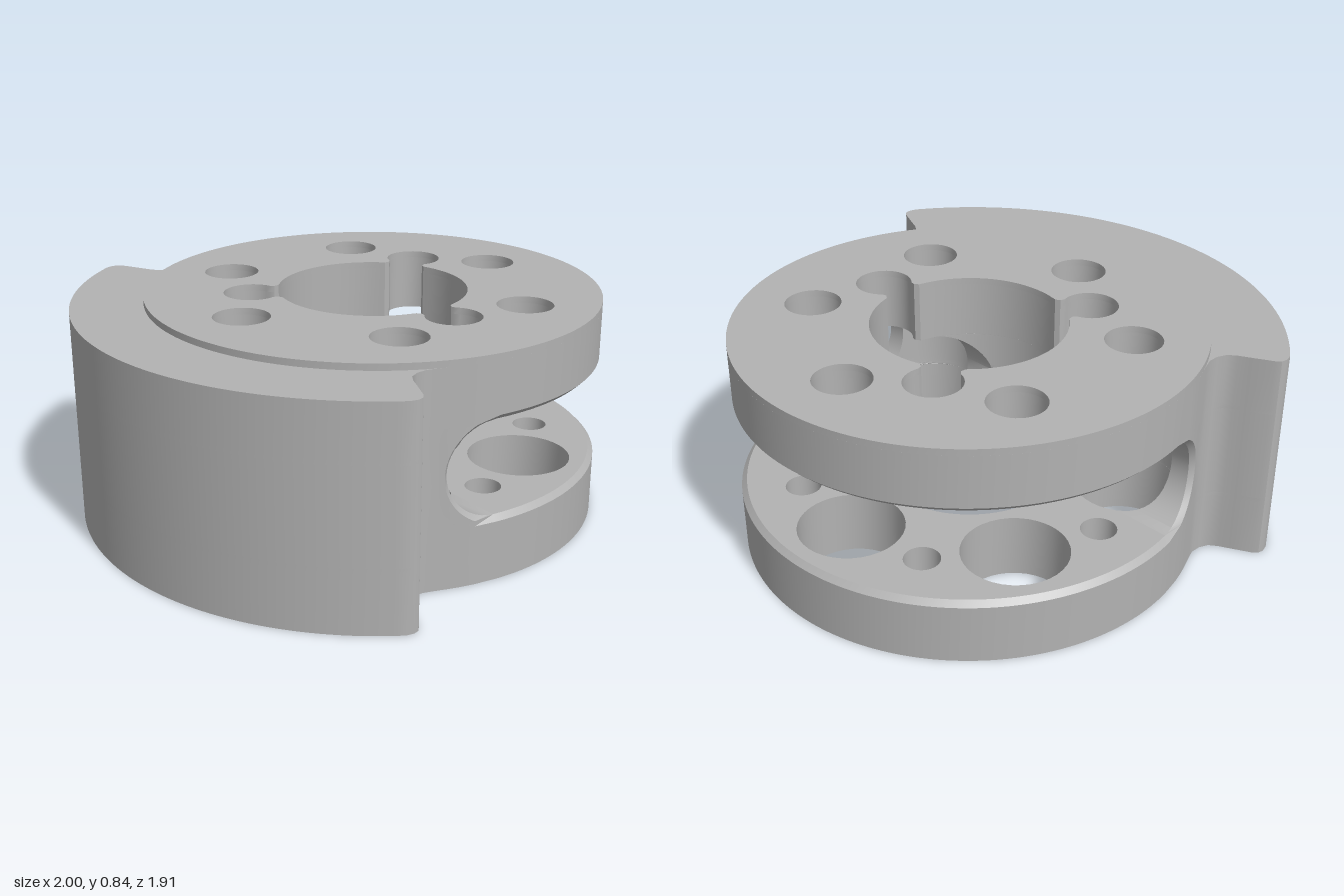
import * as THREE from 'three';
import { toCreasedNormals } from 'three/addons/utils/BufferGeometryUtils.js';

const R = 0.863, OUTER = 1.135, BORE = 0.36, POCKET = 0.193, HOLE_RING = 0.597;
const CHAMFER = 0.02, SLOT_R = 0.178, SLOT_Y = 0.4225, SLOT_U = -0.132;
const LOW = SLOT_Y - SLOT_R, HIGH = SLOT_Y + SLOT_R;
const rad = THREE.MathUtils.degToRad;
const V = (u, v) => new THREE.Vector2(u, v);

// points on an arc, both ends included
function arc(cu, cv, r, a0, a1, n) {
  return Array.from({ length: n + 1 }, (_, i) => {
    const a = a0 + (a1 - a0) * i / n;
    return V(cu + r * Math.cos(a), cv + r * Math.sin(a));
  });
}
const circle = (cu, cv, r, n = 48) => arc(cu, cv, r, 0, Math.PI * 2, n).slice(0, n);
const polar = (r, deg) => [r * Math.cos(rad(deg)), r * Math.sin(rad(deg))];
const ring = (r, first, step, size) =>
  Array.from({ length: 360 / step }, (_, i) => circle(...polar(r, first + i * step), size, 36));

// stacked outlines [y, points] with straight holes, capped at both ends
function loft(levels, holes = []) {
  const pos = [];
  const put = (p, y) => pos.push(p.x, y, p.y);
  const wall = (lo, y0, hi, y1) => lo.forEach((a, i) => {
    const j = (i + 1) % lo.length;
    put(a, y0); put(hi[i], y1); put(lo[j], y0);
    put(lo[j], y0); put(hi[i], y1); put(hi[j], y1);
  });
  const cap = ([y, pts], up) => {
    const all = [pts, ...holes].flat();
    for (const f of THREE.ShapeUtils.triangulateShape(pts.slice(), holes.map(h => h.slice()))) {
      const [a, b, c] = f.map(i => all[i]);
      const ccw = (b.x - a.x) * (c.y - a.y) - (b.y - a.y) * (c.x - a.x) > 0;
      (ccw === up ? [a, c, b] : [a, b, c]).forEach(p => put(p, y));
    }
  };
  for (let i = 1; i < levels.length; i++) {
    wall(levels[i - 1][1], levels[i - 1][0], levels[i][1], levels[i][0]);
  }
  const first = levels[0], last = levels[levels.length - 1];
  for (const h of holes) {
    const rev = h.slice().reverse();
    wall(rev, first[0], rev, last[0]);
  }
  cap(first, false);
  cap(last, true);
  const g = new THREE.BufferGeometry();
  g.setAttribute('position', new THREE.Float32BufferAttribute(pos, 3));
  return toCreasedNormals(g, 0.55);
}

// hooked end of the raised crescent, from the disc rim out to its tip
const HOOK = [[-0.362, 0.785], [-0.4, 0.772], [-0.44, 0.774], [-0.475, 0.79], [-0.496, 0.82],
  [-0.515, 0.86], [-0.552, 0.935], [-0.568, 0.953], [-0.59, 0.958]];

// crescent side of the outline, starting and ending on the rim at u = uA
function crescentSide(uA) {
  const a = Math.acos(uA / R), h = Math.atan2(0.785, -0.362), tip = Math.atan2(0.951, -0.62);
  const rim = arc(0, 0, R, a, h, 4).slice(0, 4);
  const half = [...rim, ...HOOK.map(p => V(...p))];
  return [...half, ...arc(0, 0, OUTER, tip, 2 * Math.PI - tip, 64),
    ...half.map(p => V(p.x, -p.y)).reverse()];
}

// full plate outline; rB is the rim radius along the open side
function plateOutline(rB) {
  const uA = SLOT_U - Math.sqrt((SLOT_R + CHAMFER) ** 2 - SLOT_R ** 2);
  const b = Math.acos(SLOT_U / rB);
  return [...crescentSide(uA), ...arc(0, 0, rB, -b, b, 96)];
}

// section of the solid web, its slot end bitten by the bore and two pockets
function webOutline(t) {
  const u = SLOT_U - SLOT_R * Math.cos(t), dy = SLOT_R * Math.sin(t);
  const uA = SLOT_U - Math.sqrt((SLOT_R + CHAMFER) ** 2 - dy * dy);
  const vB = Math.sqrt((R - CHAMFER) ** 2 - u * u);
  const bite = (cu, cv, r) => {
    const a = Math.acos((u - cu) / r);
    return arc(cu, cv, r, 2 * Math.PI - a, a, 24);
  };
  const [pu, pv] = polar(HOLE_RING, 120);
  return [...crescentSide(uA), V(u, -vB), ...bite(pu, -pv, POCKET),
    ...bite(0, 0, BORE), ...bite(pu, pv, POCKET), V(u, vB)];
}

// bore with three keyhole notches
function keyedBore() {
  const edge = Math.asin(0.105 / BORE), pts = [];
  const neck = [[0.105, 0.344], [0.082, 0.351], [0.07, 0.368]];
  const notch = [...neck.map(p => V(...p)), ...arc(0, 0.46, 0.105, rad(-45), rad(225), 28),
    ...neck.map(([w, r]) => V(-w, r)).reverse()];
  for (let k = 0; k < 3; k++) {
    const turn = k * 2 * Math.PI / 3;
    pts.push(...notch.map(p => p.clone().rotateAround(V(0, 0), turn)));
    const a = turn + Math.PI / 2;
    pts.push(...arc(0, 0, BORE, a + edge, a + 2 * Math.PI / 3 - edge, 20).slice(1, -1));
  }
  return pts;
}

export function createModel() {
  const model = new THREE.Group();
  model.name = 'slottedDiscHousing';
  const body = new THREE.Group();
  body.name = 'body';
  body.position.set(0.135, 0, -0.05);
  body.rotation.y = rad(4.8);
  model.add(body);

  const metal = new THREE.MeshStandardMaterial({ color: 0xb2b2b2 });
  metal.name = 'grey metal';
  const add = (name, geometry) => {
    const mesh = new THREE.Mesh(geometry, metal);
    mesh.name = name;
    body.add(mesh);
  };

  const full = plateOutline(R), bevelled = plateOutline(R - CHAMFER);

  // lower plate: bore, six large and six small holes
  add('lowerPlate', loft([[0, full], [LOW - CHAMFER, full], [LOW, bevelled]],
    [circle(0, 0, BORE, 72), ...ring(HOLE_RING, 0, 60, POCKET), ...ring(0.64, 30, 60, 0.066)]));

  // web joining the plates, with the round slot end
  const steps = 24, web = [];
  for (let i = 0; i <= steps; i++) {
    const t = -Math.PI / 2 + Math.PI * i / steps;
    web.push([SLOT_Y + SLOT_R * Math.sin(t), webOutline(t)]);
  }
  add('web', loft(web, [circle(-HOLE_RING, 0, POCKET, 36)]));

  // upper plate and the raised disc face above the crescent
  const upperHoles = [keyedBore(), ...ring(HOLE_RING, 0, 60, 0.105)];
  add('upperPlate', loft([[HIGH, bevelled], [HIGH + CHAMFER, full], [0.815, full]], upperHoles));
  const disc = circle(0, 0, R, 144);
  add('raisedFace', loft([[0.815, disc], [0.84, disc]], upperHoles));

  return model;
}
